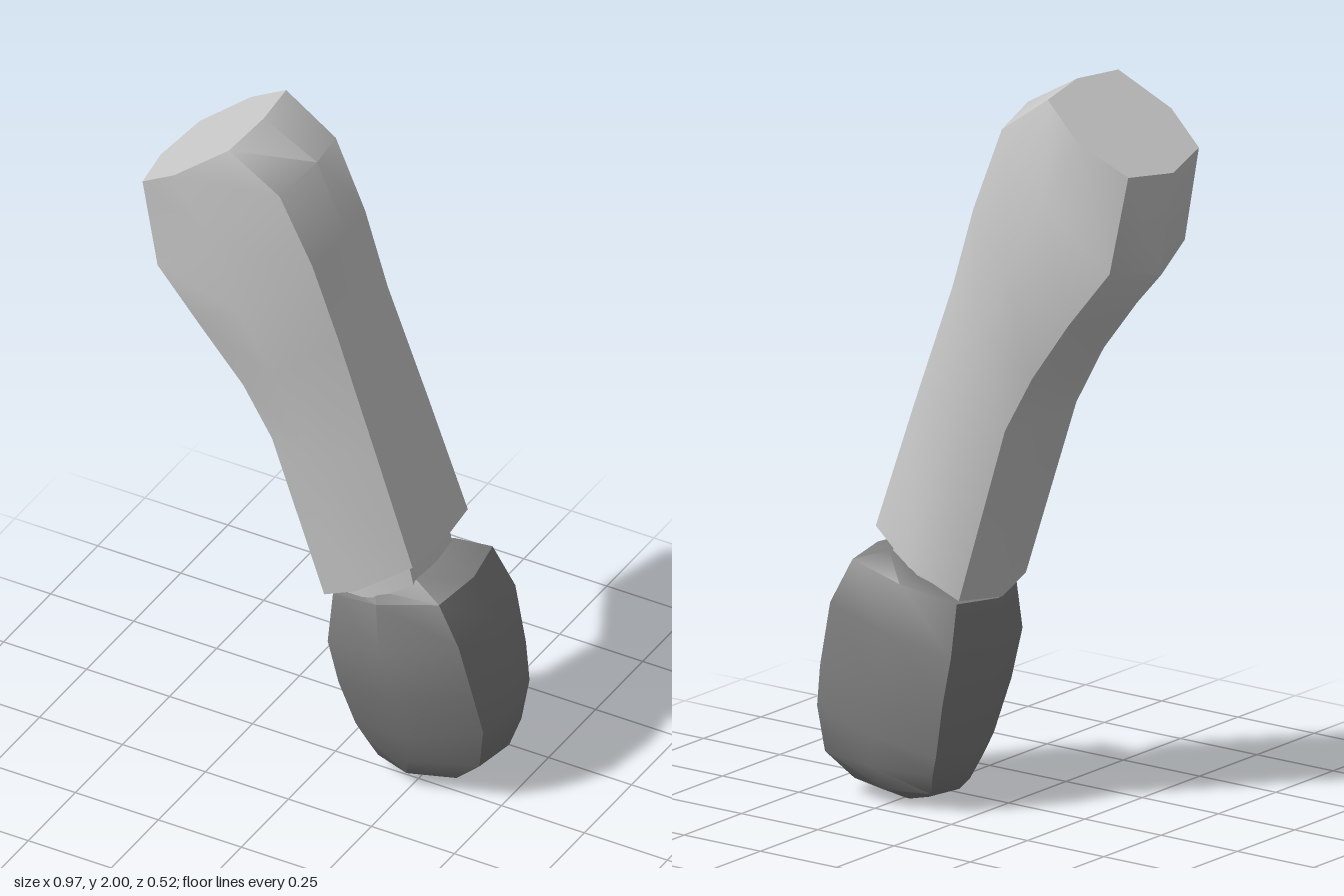
import * as THREE from 'three';
import { toCreasedNormals } from 'three/addons/utils/BufferGeometryUtils.js';

// Each section: [outer x, y, inner x, y,  z of back-outer, back, back-inner, front-inner, front, front-outer]
// Corner points sit just inside the line from the outer to the inner side.
function ringPoints([ax, ay, ex, ey, zB, zC, zD, zF, zG, zH]) {
  const at = (t, z) => [ax + (ex - ax) * t, ay + (ey - ay) * t, z];
  return [
    at(0, (zB + zH) / 2), at(0.09, zB), at(0.5, zC), at(0.92, zD),
    at(1, (zD + zF) / 2), at(0.95, zF), at(0.5, zG), at(0.12, zH),
  ];
}

// Skin the eight-point sections from top to bottom and close both ends
function loft(sections, crease) {
  const n = 8, index = [];
  const points = sections.flatMap(ringPoints);
  for (let r = 0; r < sections.length - 1; r++) {
    for (let i = 0; i < n; i++) {
      const a = r * n + i, b = r * n + (i + 1) % n;
      index.push(a, b, a + n, b, b + n, a + n);
    }
  }
  const last = (sections.length - 1) * n;
  for (let i = 1; i < n - 1; i++) {
    index.push(0, i + 1, i);
    index.push(last, last + i, last + i + 1);
  }
  const g = new THREE.BufferGeometry();
  g.setAttribute('position', new THREE.Float32BufferAttribute(points.flat(), 3));
  g.setIndex(index);
  return toCreasedNormals(g, crease);
}

export function createModel() {
  const group = new THREE.Group();
  const light = new THREE.MeshStandardMaterial({ color: 0xcccccc });
  const dark = new THREE.MeshStandardMaterial({ color: 0x808080 });
  const add = (name, sections, material) => {
    const mesh = new THREE.Mesh(loft(sections, 0.78), material);
    mesh.name = name;
    group.add(mesh);
  };

  // Sleeve: slanted shoulder cap, narrowing to the cuff with a recessed end
  add('sleeve', [
    [-0.487, 1.79, -0.187, 2.0, -0.09, -0.145, -0.11, 0.21, 0.262, 0.23],
    [-0.46, 1.51, -0.03, 1.91, -0.12, -0.165, -0.115, 0.205, 0.245, 0.225],
    [-0.335, 1.36, 0.04, 1.68, -0.14, -0.2, -0.14, 0.16, 0.26, 0.21],
    [-0.21, 1.2, 0.1, 1.45, -0.14, -0.185, -0.145, 0.135, 0.225, 0.185],
    [-0.14, 1.07, 0.21, 1.1, -0.16, -0.205, -0.17, 0.125, 0.195, 0.165],
    [0, 0.57, 0.31, 0.77, -0.18, -0.23, -0.2, 0.11, 0.165, 0.125],
    [0.035, 0.592, 0.275, 0.748, -0.145, -0.19, -0.165, 0.08, 0.125, 0.09],
    [0.01, 0.632, 0.25, 0.788, -0.145, -0.19, -0.165, 0.08, 0.125, 0.09],
  ], light);

  // Wrist: short link between the cuff and the mitten
  add('wrist', [
    [0.04, 0.65, 0.265, 0.77, -0.13, -0.17, -0.15, 0.07, 0.105, 0.08],
    [0.07, 0.5, 0.3, 0.62, -0.13, -0.17, -0.15, 0.07, 0.105, 0.08],
  ], light);

  // Mitten: rounded block hanging below the wrist
  add('mitten', [
    [0.06, 0.575, 0.29, 0.69, -0.13, -0.17, -0.16, 0.06, 0.09, 0.07],
    [0.0, 0.57, 0.385, 0.66, -0.18, -0.22, -0.21, 0.095, 0.125, 0.095],
    [-0.01, 0.43, 0.445, 0.54, -0.21, -0.25, -0.235, 0.09, 0.155, 0.12],
    [0.01, 0.3, 0.475, 0.36, -0.22, -0.257, -0.24, 0.06, 0.14, 0.1],
    [0.04, 0.15, 0.487, 0.25, -0.21, -0.262, -0.235, 0.035, 0.11, 0.06],
    [0.063, 0.1, 0.465, 0.12, -0.2, -0.248, -0.225, 0.02, 0.08, 0.035],
    [0.1, 0.04, 0.385, 0.05, -0.17, -0.22, -0.19, 0.01, 0.05, 0.01],
    [0.17, 0.012, 0.27, 0.0, -0.11, -0.14, -0.12, -0.04, 0.0, -0.04],
  ], dark);

  return group;
}
